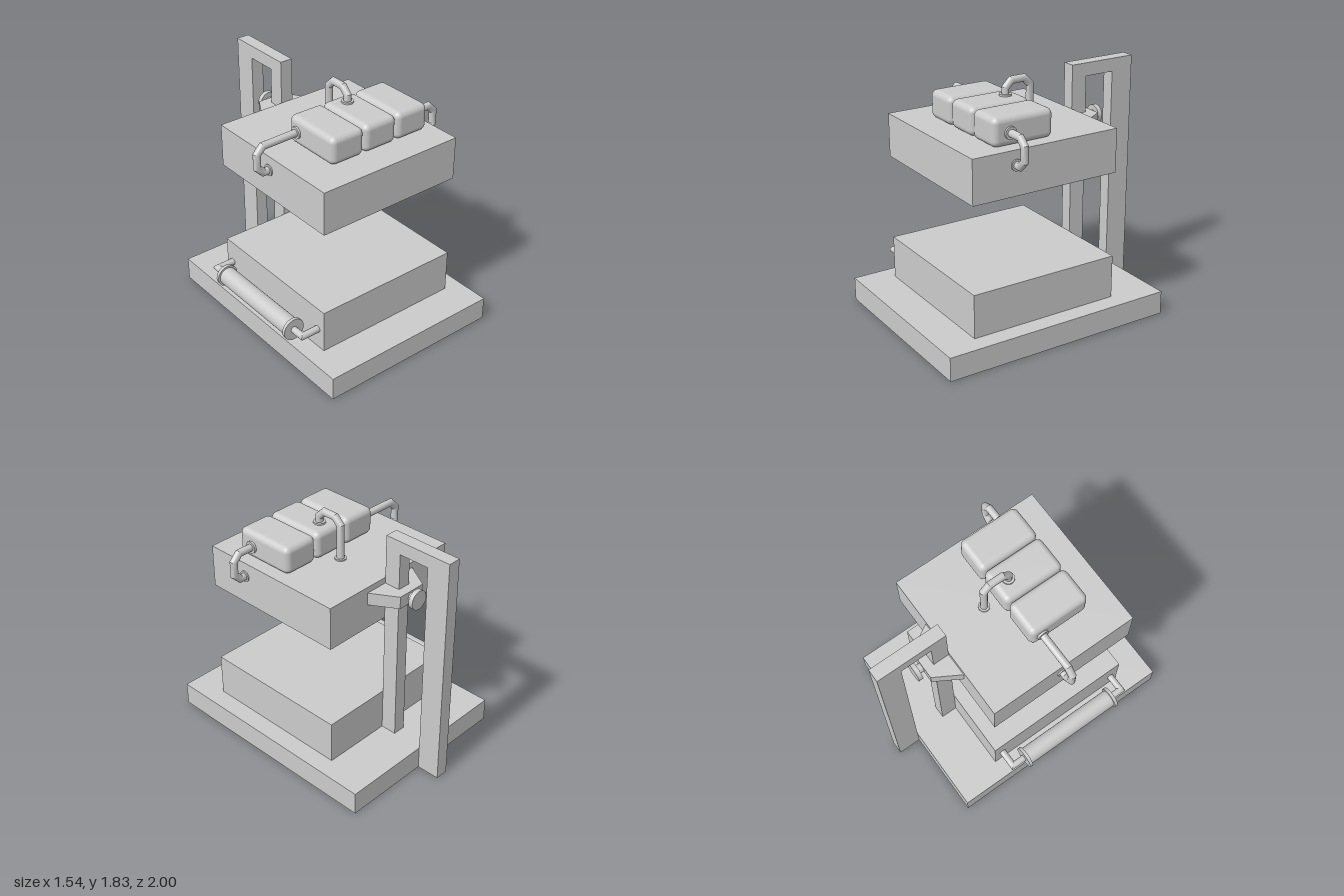
import * as THREE from 'three';
import { toCreasedNormals } from 'three/addons/utils/BufferGeometryUtils.js';
import { RoundedBoxGeometry } from 'three/addons/geometries/RoundedBoxGeometry.js';

const V = (x, y, z) => new THREE.Vector3(x, y, z);
const X = V(1, 0, 0), Y = V(0, 1, 0), Z = V(0, 0, 1);

// Round pipe with mitred bends along a planar path; n is the plane's normal
function pipeGeometry(path, n, r, sides = 16) {
  const pos = [], index = [];
  const side = path.slice(1).map((p, i) => n.clone().cross(p.clone().sub(path[i]).normalize()));
  path.forEach((p, i) => {
    const a = side[Math.max(i - 1, 0)], b = side[Math.min(i, side.length - 1)];
    const s = a.clone().add(b).divideScalar(1 + a.dot(b));
    for (let j = 0; j < sides; j++) {
      const t = (j / sides) * Math.PI * 2;
      const v = p.clone().addScaledVector(s, r * Math.cos(t)).addScaledVector(n, r * Math.sin(t));
      pos.push(v.x, v.y, v.z);
      if (i < path.length - 1) {
        const q = i * sides + j, w = i * sides + (j + 1) % sides;
        index.push(q, w, q + sides, w, w + sides, q + sides);
      }
    }
  });
  const g = new THREE.BufferGeometry();
  g.setAttribute('position', new THREE.Float32BufferAttribute(pos, 3));
  g.setIndex(index);
  return toCreasedNormals(g, 0.6);
}

// Cuts every inner corner of a path at 45 degrees
function bevel(path, d) {
  return path.flatMap((p, i) => {
    if (i === 0 || i === path.length - 1) return [p];
    return [path[i - 1], path[i + 1]].map(q => p.clone().addScaledVector(q.clone().sub(p).normalize(), d));
  });
}

export function createModel() {
  const model = new THREE.Group();
  model.name = 'press';
  const mat = new THREE.MeshStandardMaterial({ color: 0xcccccc });
  const pipeMat = new THREE.MeshStandardMaterial({ color: 0xcccccc, side: THREE.DoubleSide });

  const add = (name, geo, m = mat) => {
    const mesh = new THREE.Mesh(geo, m);
    mesh.name = name;
    model.add(mesh);
    return mesh;
  };
  // Box given by its limits on each axis
  const box = (name, x0, x1, y0, y1, z0, z1) =>
    add(name, new THREE.BoxGeometry(x1 - x0, y1 - y0, z1 - z0))
      .position.set((x0 + x1) / 2, (y0 + y1) / 2, (z0 + z1) / 2);
  // Cylinder from a point, running along an axis
  const disc = (name, start, axis, length, r) => {
    const m = add(name, new THREE.CylinderGeometry(r, r, length, 32));
    m.quaternion.setFromUnitVectors(Y, axis);
    m.position.copy(start).addScaledVector(axis, length / 2);
  };

  // Base and the two blocks
  box('base', -0.69, 0.77, 0, 0.18, -0.82, 1);
  box('lowerBlock', -0.55, 0.63, 0.18, 0.51, -0.455, 0.725);
  box('upperBlock', -0.55, 0.63, 1.16, 1.49, -0.455, 0.725);

  // Rear frame, one outline drawn in the z-y plane
  const frame = new THREE.Shape([
    [-0.455, 0.18], [-0.455, 1.82], [-1, 1.82], [-1, 0], [-0.82, 0],
    [-0.82, 1.72], [-0.58, 1.72], [-0.58, 0.18],
  ].map(([z, y]) => new THREE.Vector2(-z, y)));
  const frameGeo = new THREE.ExtrudeGeometry(frame, { depth: 0.1, bevelEnabled: false });
  frameGeo.rotateY(Math.PI / 2).translate(-0.01, 0, 0);
  add('rearFrame', frameGeo);

  // Tapered bracket holding the upper block to the post
  const bracket = new THREE.Shape([
    [-0.19, 0.455], [0.27, 0.455], [0.155, 0.65], [-0.075, 0.65],
  ].map(([x, y]) => new THREE.Vector2(x, y)));
  const bracketGeo = new THREE.ExtrudeGeometry(bracket, { depth: 0.095, bevelEnabled: false });
  bracketGeo.rotateX(-Math.PI / 2).translate(0, 1.35, 0);
  add('bracket', bracketGeo);

  // Locking knob
  const back = V(0, 0, -1);
  disc('knobShaft', V(0.04, 1.397, -0.64), back, 0.06, 0.034);
  disc('knob', V(0.04, 1.397, -0.685), back, 0.035, 0.073);

  // Three tanks on the upper block
  for (let i = 0; i < 3; i++) {
    add('tank', new RoundedBoxGeometry(0.282, 0.21, 0.48, 5, 0.045))
      .position.set(-0.167 + i * 0.289, 1.595, 0.27);
  }

  // Tank pipes with a flange at each end
  const left = V(-1, 0, 0);
  const pipes = [
    ['leftwardPipe', Z, left, left, [V(-0.3, 1.593, 0.12), V(-0.648, 1.587, 0.12), V(-0.648, 1.383, 0.12), V(-0.54, 1.383, 0.12)]],
    ['rightwardPipe', Z, X, X, [V(0.545, 1.587, 0.382), V(0.726, 1.587, 0.382), V(0.726, 1.383, 0.382), V(0.62, 1.383, 0.382)]],
    ['topPipe', X, Y, Y, [V(0.122, 1.69, 0.145), V(0.122, 1.803, 0.145), V(0.122, 1.803, -0.06), V(0.122, 1.48, -0.06)]],
  ];
  for (const [name, n, a, b, path] of pipes) {
    add(name, pipeGeometry(bevel(path, 0.05), n, 0.028), pipeMat);
    disc(name + 'Flange', path[0], a, 0.023, 0.045);
    disc(name + 'Flange', path[3], b, 0.02, 0.042);
  }

  // Side roller with end collars and elbow arms
  const rx = -0.686, ry = 0.335;
  disc('roller', V(rx, ry, -0.275), Z, 0.83, 0.07);
  for (const [z, dir, reach] of [[-0.282, 1, -0.385], [0.56, -1, 0.655]]) {
    disc('rollerCollar', V(rx, ry, z), V(0, 0, dir), 0.025, 0.085);
    add('rollerArm', pipeGeometry([V(rx, ry, z + dir * 0.01), V(rx, ry, reach), V(-0.54, ry, reach)], Y, 0.026), pipeMat);
  }
  return model;
}
